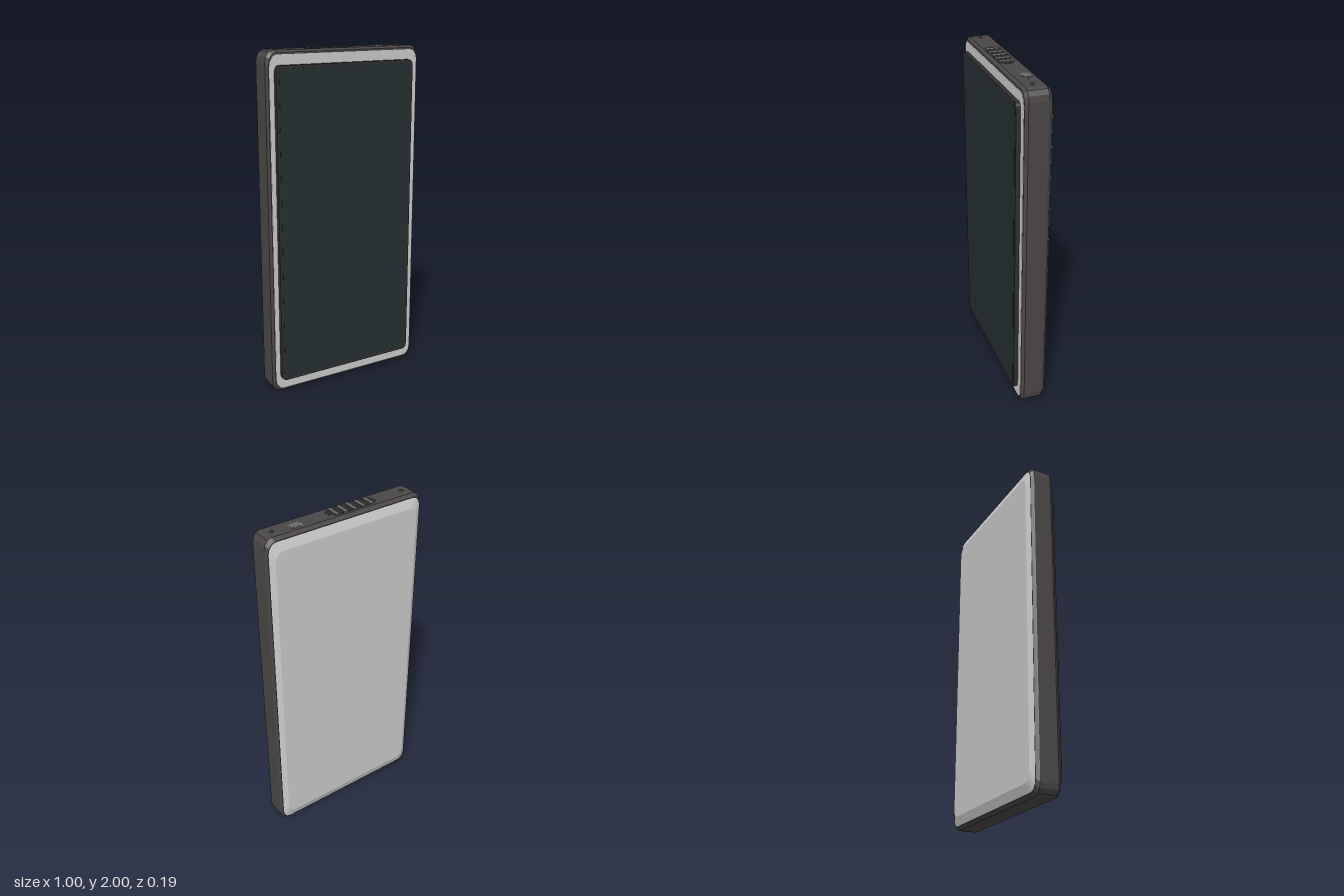
import * as THREE from 'three';

const mat = (color) => new THREE.MeshStandardMaterial({ color, flatShading: true });
const CORNER_STEPS = 3;

// Rounded-rectangle outline, counter-clockwise seen from +z
function outline(hw, hh, rx, ry) {
  const pts = [];
  const corners = [[1, 1], [-1, 1], [-1, -1], [1, -1]];
  corners.forEach(([sx, sy], q) => {
    for (let i = 0; i <= CORNER_STEPS; i++) {
      const a = (q + i / CORNER_STEPS) * Math.PI / 2;
      pts.push([sx * (hw - rx) + rx * Math.cos(a), sy * (hh - ry) + ry * Math.sin(a)]);
    }
  });
  return pts;
}

// Closed solid through sections [z, halfWidth, halfHeight, rx, ry], back to front
function loft(sections) {
  const pos = [], idx = [];
  let n = 0;
  for (const [z, ...dims] of sections) {
    const ring = outline(...dims);
    n = ring.length;
    ring.forEach(([x, y]) => pos.push(x, y, z));
  }
  for (let k = 0; k < sections.length - 1; k++) {
    for (let i = 0; i < n; i++) {
      const a = k * n + i, b = k * n + (i + 1) % n;
      idx.push(a, b, b + n, a, b + n, a + n);
    }
  }
  const last = (sections.length - 1) * n;
  for (let i = 1; i < n - 1; i++) {
    idx.push(0, i + 1, i);
    idx.push(last, last + i, last + i + 1);
  }
  const indexed = new THREE.BufferGeometry();
  indexed.setAttribute('position', new THREE.Float32BufferAttribute(pos, 3));
  indexed.setIndex(idx);
  const g = indexed.toNonIndexed();
  g.computeVertexNormals();
  return g;
}

// Six-sided plate lying on the top edge: pointed or cut ends along x
function topPlate(hw, hd, cut, flat, y0, y1) {
  const s = new THREE.Shape([
    [hw, -flat], [hw, flat], [hw - cut, hd], [cut - hw, hd],
    [-hw, flat], [-hw, -flat], [cut - hw, -hd], [hw - cut, -hd],
  ].map(([x, y]) => new THREE.Vector2(x, y)));
  const g = new THREE.ExtrudeGeometry(s, { depth: y1 - y0, bevelEnabled: false });
  return g.rotateX(-Math.PI / 2).translate(0, y0, 0);
}

export function createModel() {
  const group = new THREE.Group();
  const frameMat = mat(0x4a4647), greyMat = mat(0xcccccc);
  const rimMat = mat(0x302f2f), ventMat = mat(0x2b2b2b), metalMat = mat(0x6c6c6c);
  const add = (name, geometry, material, x = 0, y = 0, z = 0) => {
    const m = new THREE.Mesh(geometry, material);
    m.name = name;
    m.position.set(x, y, z);
    group.add(m);
    return m;
  };

  // Dark side frame with chamfered edges
  add('frame', loft([
    [-0.08, 0.487, 0.98, 0.045, 0.06],
    [-0.06, 0.498, 0.996, 0.045, 0.065],
    [0.05, 0.498, 0.996, 0.045, 0.065],
    [0.068, 0.486, 0.984, 0.045, 0.065],
  ]), frameMat, 0, 1);

  // Pale back cover, bevelled towards the rear
  add('backCover', loft([
    [-0.097, 0.455, 0.925, 0.045, 0.05],
    [-0.079, 0.486, 0.978, 0.045, 0.06],
  ]), greyMat, 0, 1);

  // Pale front bezel
  add('frontBezel', loft([
    [0.06, 0.483, 0.974, 0.045, 0.065],
    [0.07, 0.483, 0.974, 0.045, 0.065],
  ]), greyMat, 0, 1);

  // Raised display slab and its glass
  add('displayRim', loft([
    [0.065, 0.447, 0.917, 0.025, 0.035],
    [0.095, 0.447, 0.917, 0.025, 0.035],
  ]), rimMat, -0.007, 1);
  add('screen', loft([
    [0.09, 0.43, 0.9, 0.02, 0.03],
    [0.0965, 0.43, 0.9, 0.02, 0.03],
  ]), mat(0x252f32), -0.007, 1);

  // Speaker slot with five ribs on the top edge
  add('speakerSlot', topPlate(0.154, 0.044, 0.03, 0.018, 1.98, 1.9975), ventMat, -0.074);
  const rib = new THREE.BoxGeometry(0.017, 0.02, 0.086);
  for (let i = 0; i < 5; i++) {
    add('speakerRib', rib, metalMat, -0.188 + i * 0.0565, 1.989, -0.001);
  }

  // Hexagonal socket
  add('socketRing', topPlate(0.041, 0.027, 0.017, 0.002, 1.98, 1.9975), metalMat, 0.283, 0, -0.017);
  add('socketCore', topPlate(0.031, 0.019, 0.012, 0.002, 1.98, 1.999), metalMat, 0.283, 0, -0.017);

  // Small screws near both ends of the top edge
  for (const x of [-0.415, 0.415]) {
    add('topScrew', new THREE.CylinderGeometry(0.012, 0.012, 0.02, 8), frameMat, x, 1.99, -0.002);
  }
  return group;
}
